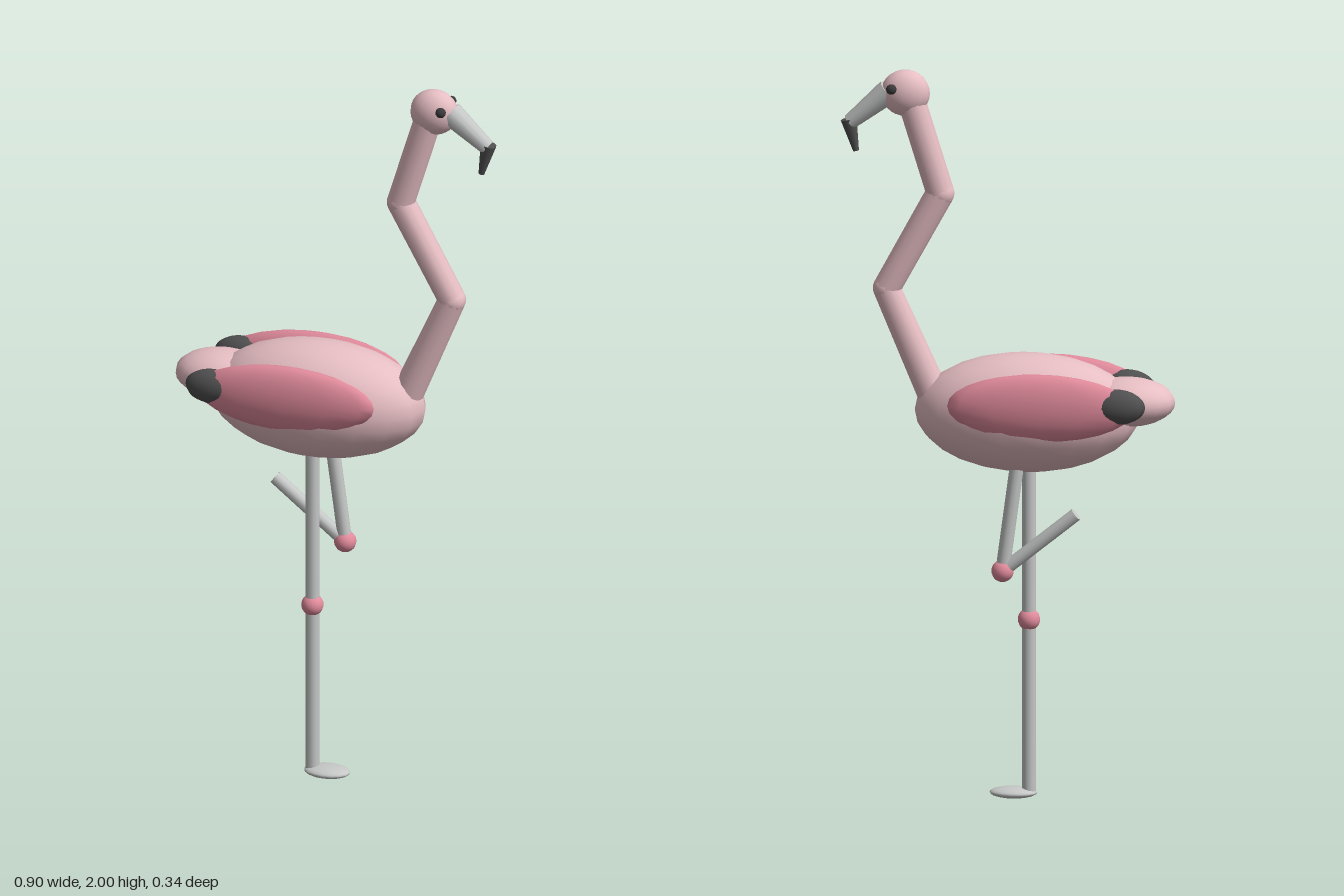
import * as THREE from 'three';

const material = (name, color) => {
  const m = new THREE.MeshStandardMaterial({ color });
  m.name = name;
  return m;
};

export function createModel() {
  const model = new THREE.Group();
  model.name = 'wadingBird';

  const palePink = material('palePink', 0xe6bec3);
  const rosePink = material('rosePink', 0xe18b9c);
  const paleGrey = material('paleGrey', 0xc6c7c7);
  const charcoal = material('charcoal', 0x505050);
  const eyeDark = material('eyeDark', 0x3a3a3a);

  const add = (name, geometry, mat, position) => {
    const mesh = new THREE.Mesh(geometry, mat);
    mesh.name = name;
    mesh.position.set(...position);
    model.add(mesh);
    return mesh;
  };

  // Sphere scaled to the given radii
  const ellipsoid = (name, mat, centre, radii, segments = 16) =>
    add(name, new THREE.SphereGeometry(1, segments, 14), mat, centre).scale.set(...radii);

  const ball = (name, mat, centre, r) => ellipsoid(name, mat, centre, [r, r, r]);

  // Tapered rod between two points
  const rod = (name, mat, a, b, ra, rb = ra) => {
    const start = new THREE.Vector3(...a);
    const span = new THREE.Vector3(...b).sub(start);
    const mid = start.clone().addScaledVector(span, 0.5);
    const mesh = add(name, new THREE.CylinderGeometry(rb, ra, span.length(), 12), mat, mid.toArray());
    mesh.quaternion.setFromUnitVectors(new THREE.Vector3(0, 1, 0), span.normalize());
  };

  // Body and tail
  ellipsoid('body', palePink, [-0.05, 1.07, 0], [0.302, 0.161, 0.158], 18);
  ellipsoid('tail', palePink, [-0.32, 1.105, 0], [0.13, 0.066, 0.096]);

  // Wings with dark tips, and eyes
  for (const [label, s] of [['left', 1], ['right', -1]]) {
    ellipsoid(label + 'Wing', rosePink, [-0.1, 1.11, 0.13 * s], [0.25, 0.092, 0.042], 12);
    ellipsoid(label + 'WingTip', charcoal, [-0.305, 1.117, 0.125 * s], [0.078, 0.048, 0.038], 12);
    ball(label + 'Eye', eyeDark, [0.31, 1.955, 0.045 * s], 0.014);
  }

  // Bent neck
  const neck = [[0.205, 1.12, 0], [0.328, 1.4, 0], [0.183, 1.665, 0], [0.262, 1.92, 0]];
  const neckRadii = [0.043, 0.037, 0.038, 0.038];
  for (let i = 0; i < 3; i++) {
    rod('neckSegment' + (i + 1), palePink, neck[i], neck[i + 1], neckRadii[i], neckRadii[i + 1]);
    if (i > 0) ball('neckJoint' + i, palePink, neck[i], neckRadii[i]);
  }

  // Head and hooked beak
  ellipsoid('head', palePink, [0.277, 1.937, 0], [0.066, 0.063, 0.048]);
  rod('beak', paleGrey, [0.322, 1.94, 0], [0.427, 1.853, 0], 0.034, 0.021);
  rod('beakTip', charcoal, [0.43, 1.862, 0], [0.41, 1.775, 0], 0.022, 0.008);

  // Standing leg
  rod('standingThigh', paleGrey, [-0.05, 1.0, 0.05], [-0.05, 0.49, 0.05], 0.019);
  ball('standingKnee', rosePink, [-0.05, 0.49, 0.05], 0.03);
  rod('standingShin', paleGrey, [-0.05, 0.49, 0.05], [-0.05, 0.01, 0.05], 0.019);
  ellipsoid('foot', paleGrey, [-0.008, 0.015, 0.05], [0.064, 0.015, 0.045]);

  // Folded leg
  rod('foldedThigh', paleGrey, [-0.035, 0.98, -0.048], [0.01, 0.643, -0.048], 0.019);
  ball('foldedKnee', rosePink, [0.01, 0.643, -0.048], 0.03);
  rod('foldedShin', paleGrey, [0.01, 0.643, -0.048], [-0.188, 0.803, -0.048], 0.018);

  return model;
}
